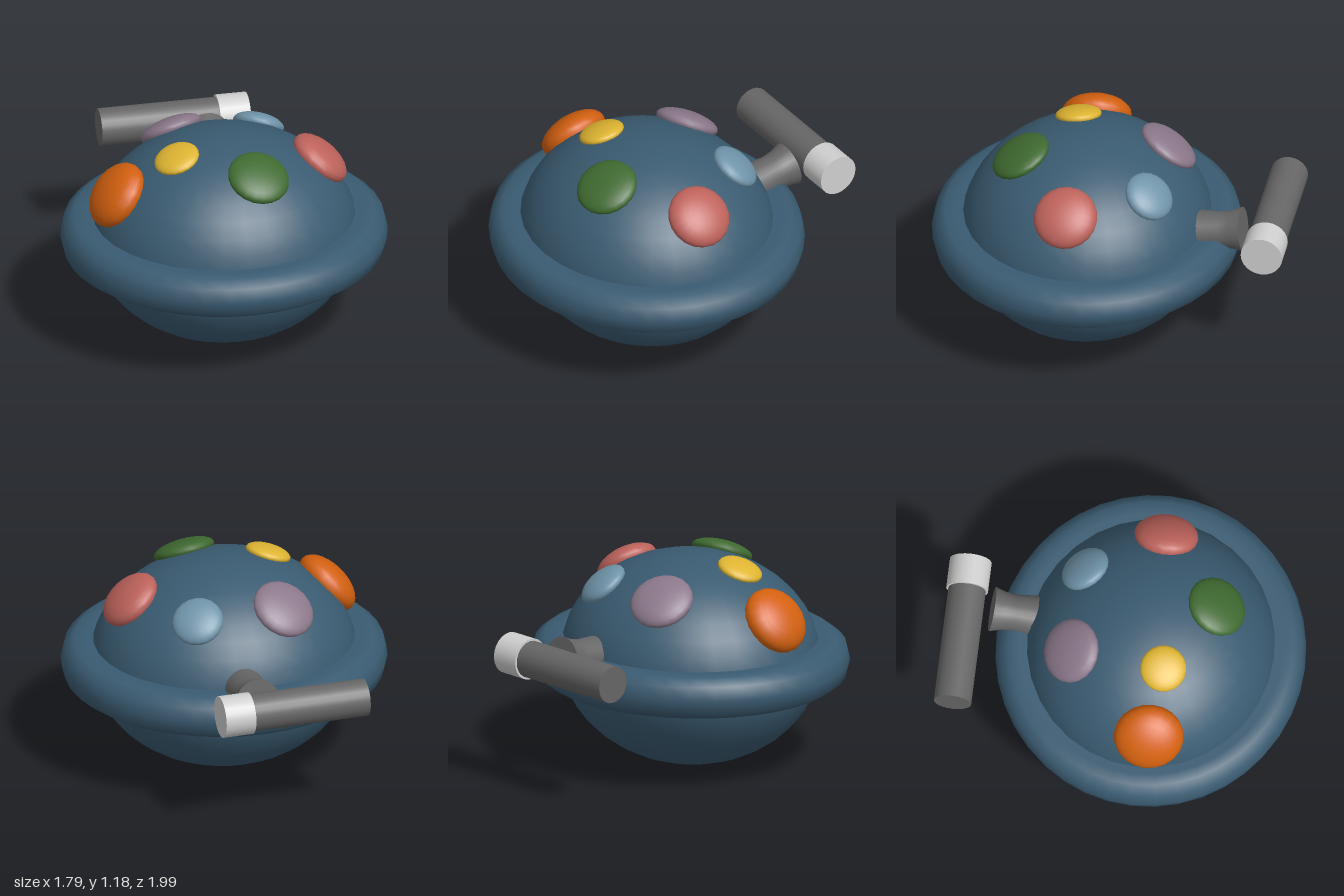
import * as THREE from 'three';

const CENTER = new THREE.Vector3(0, 0.59, 0.147);
const RADII = new THREE.Vector3(0.735, 0.585, 0.692);

function material(name, color) {
  const m = new THREE.MeshStandardMaterial({ color });
  m.name = name;
  return m;
}

function lathe(points, segments) {
  return new THREE.LatheGeometry(points.map(([r, y]) => new THREE.Vector2(r, y)), segments);
}

export function createModel() {
  const model = new THREE.Group();
  model.name = 'saucer';

  const blue = material('hull blue', 0x3a5b71);
  const darkGrey = material('dark grey', 0x666666);
  const lightGrey = material('light grey', 0xcfcfcf);

  function add(name, geometry, mat, parent = model) {
    const mesh = new THREE.Mesh(geometry, mat);
    mesh.name = name;
    parent.add(mesh);
    return mesh;
  }

  // Ellipsoid hull
  const hull = add('hull', new THREE.SphereGeometry(1, 32, 20), blue);
  hull.scale.copy(RADII);
  hull.position.copy(CENTER);

  // Rounded rim around the middle
  const rim = add('rim', lathe([
    [0.66, -0.116], [0.76, -0.116], [0.824, -0.116], [0.879, -0.076], [0.897, 0],
    [0.879, 0.076], [0.824, 0.116], [0.76, 0.116], [0.66, 0.116],
  ], 40), blue);
  rim.position.copy(CENTER);
  rim.scale.z = 0.945;

  // Coloured domes set into the upper hull: x, z, radius, height
  const domes = [
    ['orangeDome', 0xd2600f, -0.61, 0.21, 0.192, 0.105],
    ['yellowDome', 0xdeb431, -0.285, 0.25, 0.127, 0.045],
    ['greenDome', 0x3f6a30, 0.12, 0.495, 0.171, 0.06],
    ['redDome', 0xbd625b, 0.53, 0.168, 0.176, 0.085],
    ['purpleDome', 0x8b788a, -0.21, -0.265, 0.176, 0.065],
    ['paleBlueDome', 0x6f93a8, 0.275, -0.248, 0.142, 0.06],
  ];
  const up = new THREE.Vector3(0, 1, 0);
  for (const [name, color, x, z, radius, height] of domes) {
    const u = x / RADII.x;
    const w = (z - CENTER.z) / RADII.z;
    const v = Math.sqrt(1 - u * u - w * w);
    const normal = new THREE.Vector3(u / RADII.x, v / RADII.y, w / RADII.z).normalize();
    const dome = add(name, new THREE.SphereGeometry(1, 20, 14), material(name, color));
    dome.position.set(x, CENTER.y + v * RADII.y, z);
    dome.quaternion.setFromUnitVectors(up, normal);
    dome.scale.set(radius, height, radius);
  }

  // Flared neck behind the hull, local y along its axis
  const neck = new THREE.Group();
  neck.name = 'neck';
  neck.position.set(0.085, 0.735, -0.735);
  neck.quaternion.setFromUnitVectors(up, new THREE.Vector3(0, 0.145, -0.99).normalize());
  model.add(neck);
  add('neckSide', lathe([[0.115, -0.34], [0.113, -0.24], [0.1, -0.12], [0.106, -0.06], [0.123, 0]], 24),
    darkGrey, neck);
  const neckCap = add('neckCap', new THREE.CircleGeometry(0.123, 24), darkGrey, neck);
  neckCap.rotation.x = -Math.PI / 2;

  // Crosswise tube with a pale end sleeve
  for (const [name, radius, x0, x1, mat] of [
    ['tube', 0.103, -0.483, 0.18, darkGrey],
    ['tubeSleeve', 0.115, 0.175, 0.345, lightGrey],
  ]) {
    const part = add(name, new THREE.CylinderGeometry(radius, radius, x1 - x0, 24), mat);
    part.rotation.z = -Math.PI / 2;
    part.position.set((x0 + x1) / 2, 0.745, -0.885);
  }

  return model;
}
